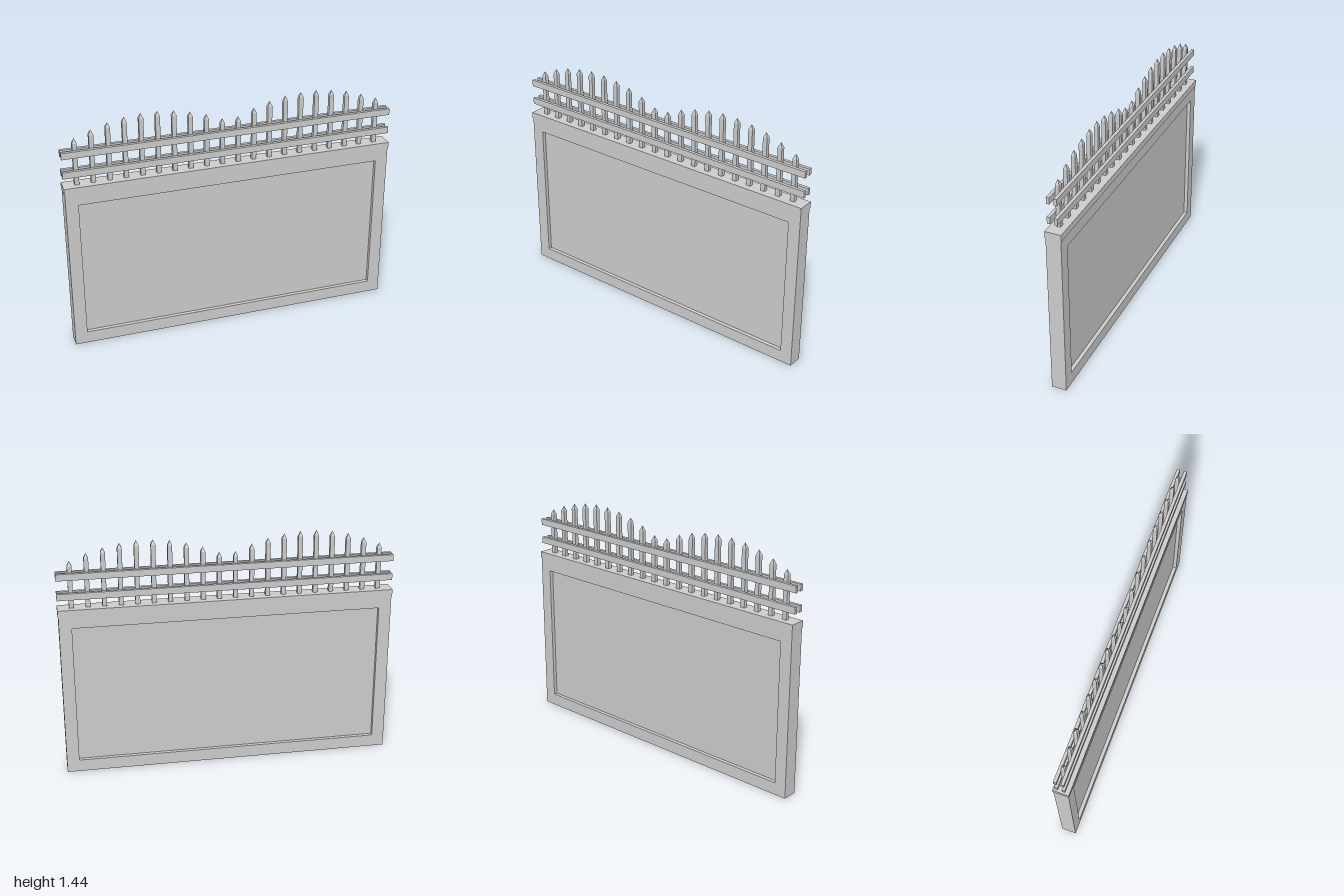
import * as THREE from 'three';

export function createModel() {
  const model = new THREE.Group();
  const material = new THREE.MeshStandardMaterial({ color: 0xcccccc, flatShading: true });

  const add = (name, geometry, x = 0, y = 0, z = 0, parent = model) => {
    const mesh = new THREE.Mesh(geometry, material);
    mesh.name = name;
    mesh.position.set(x, y, z);
    parent.add(mesh);
    return mesh;
  };

  // Wall frame: a slab with a rectangular opening
  const wallTop = 1.015, capTop = 1.055, wallDepth = 0.09;
  const rect = (path, x, y0, y1) =>
    path.moveTo(-x, y0).lineTo(x, y0).lineTo(x, y1).lineTo(-x, y1).closePath();
  const outline = rect(new THREE.Shape(), 0.997, 0, wallTop);
  outline.holes.push(rect(new THREE.Path(), 0.922, 0.075, 0.94));
  const frame = new THREE.ExtrudeGeometry(outline, { depth: wallDepth, bevelEnabled: false });
  add('wallFrame', frame, 0, 0, -wallDepth / 2);

  // Panel set back from both faces of the frame
  add('wallPanel', new THREE.BoxGeometry(1.844, 0.865, 0.044), 0, 0.5075, 0);

  // Coping on top of the wall
  add('wallCap', new THREE.BoxGeometry(2, capTop - wallTop, 0.098), 0, (wallTop + capTop) / 2, 0);

  // Two pairs of rails clasping the pickets
  const rail = new THREE.BoxGeometry(2, 0.04, 0.019);
  for (const y of [1.13, 1.25]) {
    for (const side of [-1, 1]) add('rail', rail, 0, y, side * 0.0215);
  }

  // Pickets in two arched runs, each with a pyramid point
  const width = 0.027, depth = 0.024, tipHeight = 0.03, perRun = 10;
  const tip = new THREE.CylinderGeometry(0.002, Math.SQRT1_2, tipHeight, 4, 1);
  tip.rotateY(Math.PI / 4).scale(width, 1, depth);
  // the top radius was shrunk with the base, leaving a sharp point
  for (let i = 0; i < perRun * 2; i++) {
    const t = (2 * (i % perRun)) / (perRun - 1) - 1;
    const top = 1.34 + 0.101 * (1 - t * t);
    const shaftHeight = top - tipHeight - capTop;
    const picket = new THREE.Group();
    picket.name = 'picket';
    picket.position.set(-0.917 + (1.834 * i) / (perRun * 2 - 1), capTop, 0);
    add('picketShaft', new THREE.BoxGeometry(width, shaftHeight, depth), 0, shaftHeight / 2, 0, picket);
    add('picketTip', tip, 0, shaftHeight + tipHeight / 2, 0, picket);
    model.add(picket);
  }

  return model;
}
